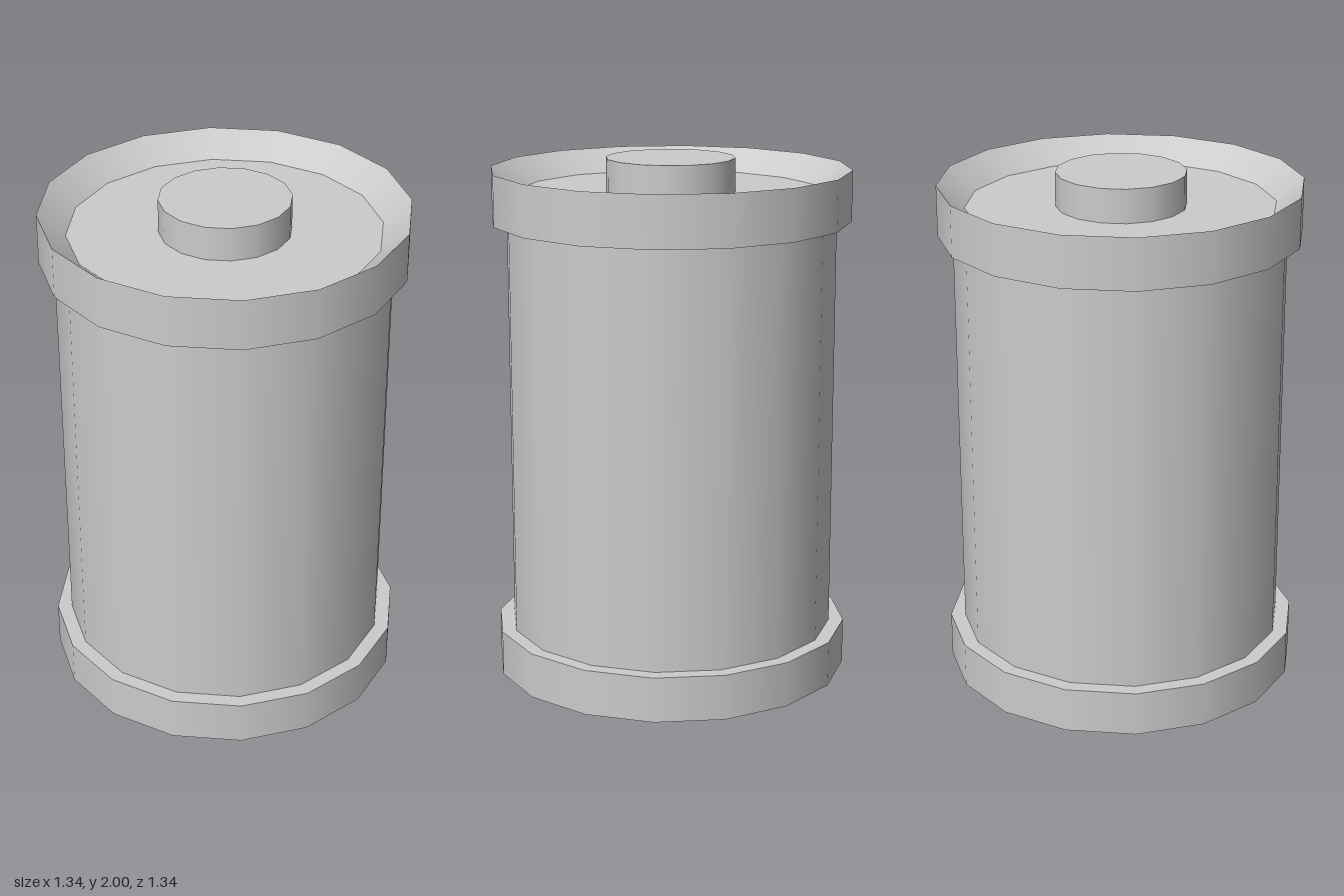
import * as THREE from 'three';
import { mergeGeometries } from 'three/addons/utils/BufferGeometryUtils.js';

const SIDES = 16;

// Turns a profile with a hard edge at every point; sides stay smooth around the axis.
function turned(points) {
  const bands = [];
  for (let i = 0; i < points.length - 1; i++) {
    const pair = [points[i], points[i + 1]].map(([r, y]) => new THREE.Vector2(r, y));
    bands.push(new THREE.LatheGeometry(pair, SIDES));
  }
  return mergeGeometries(bands);
}

export function createModel() {
  const group = new THREE.Group();
  const material = new THREE.MeshStandardMaterial({ color: 0xcccccc });
  const bodyR = 0.615, capR = 0.67, floorR = 0.57, knobR = 0.24;

  const add = (name, profile) => {
    const mesh = new THREE.Mesh(turned(profile), material);
    mesh.name = name;
    group.add(mesh);
  };

  // Main barrel
  add('body', [[bodyR, 0.217], [bodyR, 1.77]]);

  // End caps: flat shoulder, outer band, sloped recess and flat floor
  add('topCap', [[bodyR, 1.77], [capR, 1.77], [capR, 1.96], [floorR, 1.874], [0, 1.874]]);
  add('bottomCap', [[0, 0.13], [floorR, 0.13], [capR, 0.046], [capR, 0.217], [bodyR, 0.217]]);

  // Axle stubs rising from the recesses
  add('topStub', [[knobR, 1.874], [knobR, 2], [0, 2]]);
  add('bottomStub', [[0, 0], [knobR, 0], [knobR, 0.13]]);

  return group;
}
